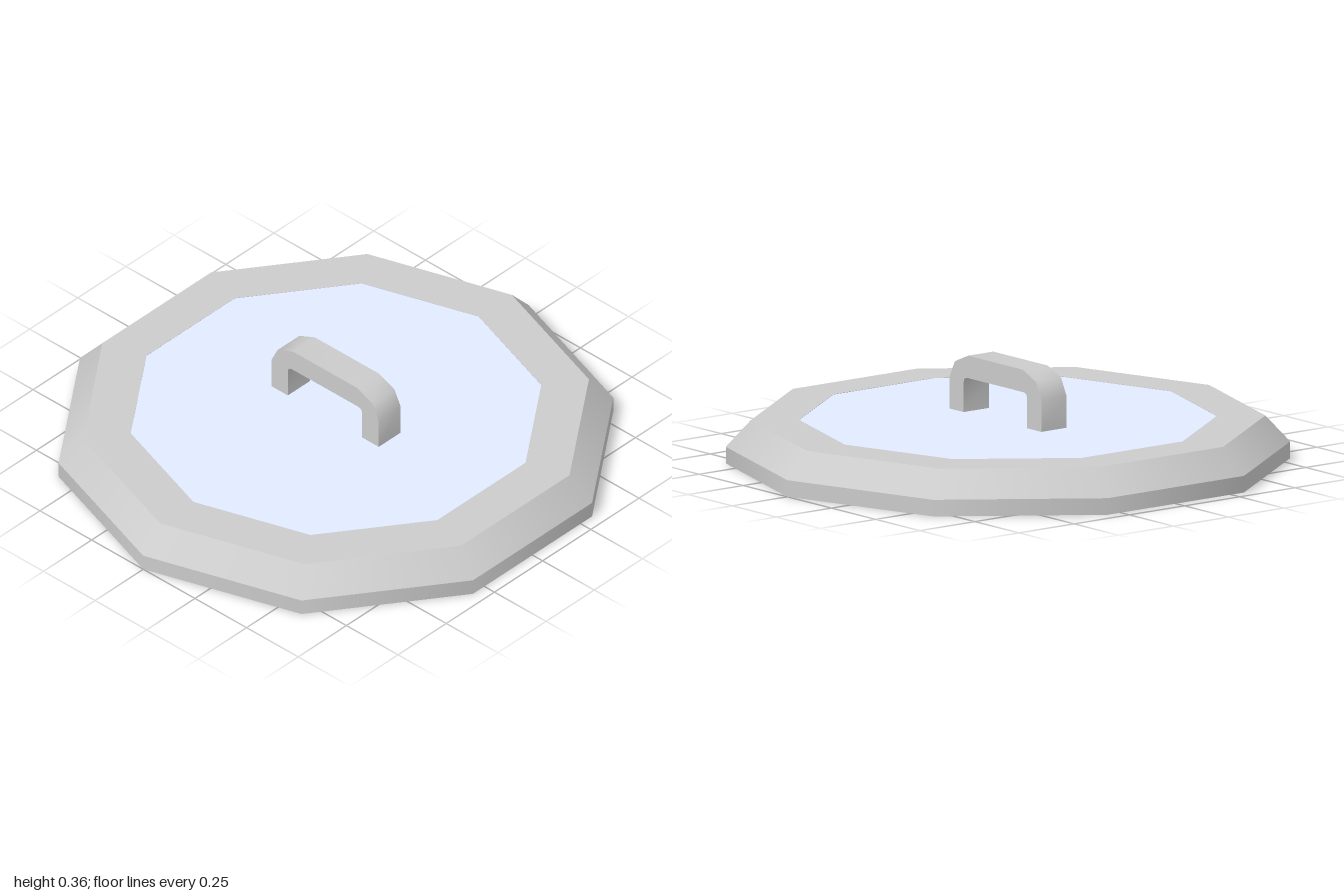
import * as THREE from 'three';
import { mergeGeometries, toCreasedNormals } from 'three/addons/utils/BufferGeometryUtils.js';

const SIDES = 10;
const TOP = 0.155;
const INNER = 0.74;

export function createModel() {
  const group = new THREE.Group();
  const grey = new THREE.MeshStandardMaterial({ color: 0xcccccc });
  const glass = new THREE.MeshStandardMaterial({ color: 0xe2ecff, side: THREE.DoubleSide });

  const add = (name, geometry, material) => {
    const mesh = new THREE.Mesh(geometry, material);
    mesh.name = name;
    group.add(mesh);
    return mesh;
  };

  // Rim: one band per profile edge, smooth around and sharp between bands
  const profile = [[INNER, 0], [1, 0], [1, 0.06], [0.912, TOP], [INNER, TOP], [INNER, 0]]
    .map(([r, y]) => new THREE.Vector2(r, y));
  const bands = profile.slice(1).map((p, i) =>
    new THREE.LatheGeometry([profile[i], p], SIDES, Math.PI / 2));
  add('rim', mergeGeometries(bands), grey);

  // Pane: a thin sheet closing the rim, flush with its top
  const pane = new THREE.CircleGeometry(INNER, SIDES);
  pane.rotateX(-Math.PI / 2);
  add('pane', pane, glass).position.y = TOP - 0.001;

  // Handle: arch outline mirrored about its middle, extruded across x
  const foot = TOP - 0.003;
  const outer = [[0.26, foot], [0.26, 0.27], [0.23, 0.33], [0.155, 0.362]];
  const inner = [[0.18, foot], [0.18, 0.262], [0.175, 0.276], [0.16, 0.281]];
  const mirror = (points) => points.map(([z, y]) => [-z, y]).reverse();
  const outline = [...outer, ...mirror(outer), ...mirror(inner).reverse(), ...inner.slice().reverse()];
  const shape = new THREE.Shape(outline.map(([z, y]) => new THREE.Vector2(z, y)));
  const arch = new THREE.ExtrudeGeometry(shape, { depth: 0.114, bevelEnabled: false });
  arch.translate(0, 0, -0.057);
  arch.rotateY(Math.PI / 2);
  add('handle', toCreasedNormals(arch, 0.9), grey);

  return group;
}
